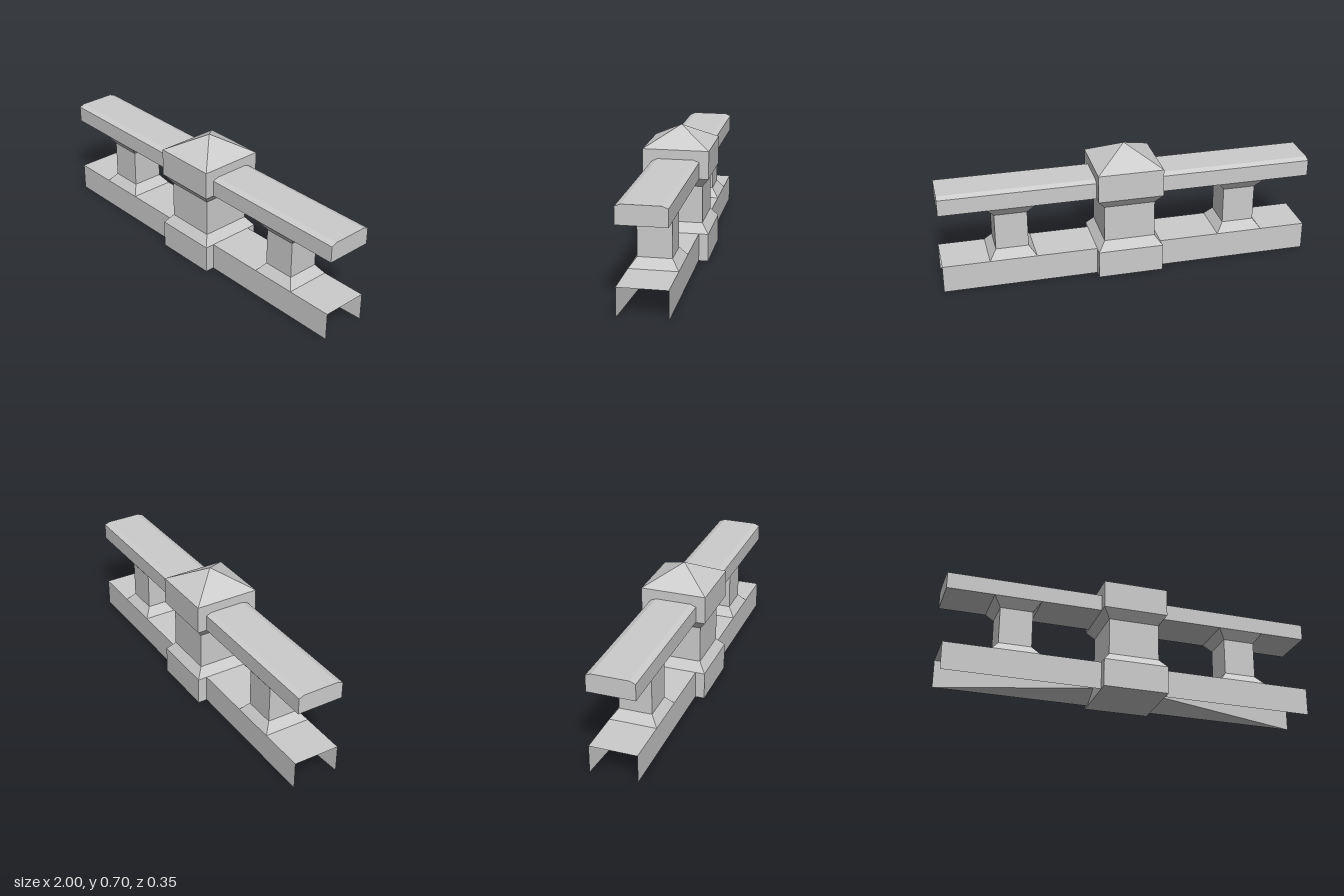
import * as THREE from 'three';

// Give every face its own flat normal
function faceted(geometry) {
  const g = geometry.index ? geometry.toNonIndexed() : geometry;
  g.computeVertexNormals();
  return g;
}

// Square column from a profile of [half width, height] pairs, bottom to top
function squareColumn(profile) {
  const points = profile.map(([h, y]) => new THREE.Vector2(h * Math.SQRT2, y));
  return faceted(new THREE.LatheGeometry(points, 4, Math.PI / 4));
}

function triangles(list) {
  const g = new THREE.BufferGeometry().setFromPoints(list.map((p) => new THREE.Vector3(...p)));
  return faceted(g);
}

const quad = (a, b, c, d) => [a, b, c, a, c, d];

export function createModel() {
  const stone = new THREE.MeshStandardMaterial({ color: 0xcccccc });
  stone.name = 'grey stone';
  const model = new THREE.Group();
  model.name = 'balustrade';

  const add = (name, geometry, x = 0) => {
    const mesh = new THREE.Mesh(geometry, stone);
    mesh.name = name;
    mesh.position.x = x;
    model.add(mesh);
  };

  // Central post with flared block ends and a pyramid cap
  add('centralPost', squareColumn([
    [0, 0], [0.175, 0], [0.175, 0.15], [0.137, 0.2],
    [0.137, 0.4], [0.175, 0.45], [0.175, 0.6], [0, 0.7],
  ]));

  // Balusters, flared where they meet the rails
  const baluster = squareColumn([[0.125, 0.15], [0.087, 0.2], [0.087, 0.4], [0.125, 0.45]]);
  add('leftBaluster', baluster, 0.625);
  add('rightBaluster', baluster, -0.625);

  // Top rail with chamfered upper edges
  const section = new THREE.Shape([
    [-0.125, 0.45], [0.125, 0.45], [0.125, 0.538],
    [0.095, 0.55], [-0.095, 0.55], [-0.125, 0.538],
  ].map((p) => new THREE.Vector2(...p)));
  const rail = new THREE.ExtrudeGeometry(section, { depth: 2, bevelEnabled: false });
  rail.translate(0, 0, -1).rotateY(Math.PI / 2);
  add('topRail', faceted(rail));

  // Base rail: closed on top, front and back, open at the ends and below
  const corner = (x, top, z) => [x, top ? 0.15 : 0, z * 0.125];
  const rim = [
    corner(1, true, 1), corner(1, false, 1), corner(-1, false, 1), corner(-1, true, 1),
    corner(-1, true, -1), corner(-1, false, -1), corner(1, false, -1), corner(1, true, -1),
  ];
  add('baseRail', triangles([
    ...quad(rim[3], rim[0], rim[7], rim[4]),
    ...quad(rim[2], rim[1], rim[0], rim[3]),
    ...quad(rim[6], rim[5], rim[4], rim[7]),
  ]));

  // Hollow inside the base rail, narrowing from its rim to the middle
  const centre = [0, 0.075, 0];
  add('baseRailHollow', triangles(rim.flatMap((p, i) => [p, rim[(i + 1) % rim.length], centre])));

  return model;
}
